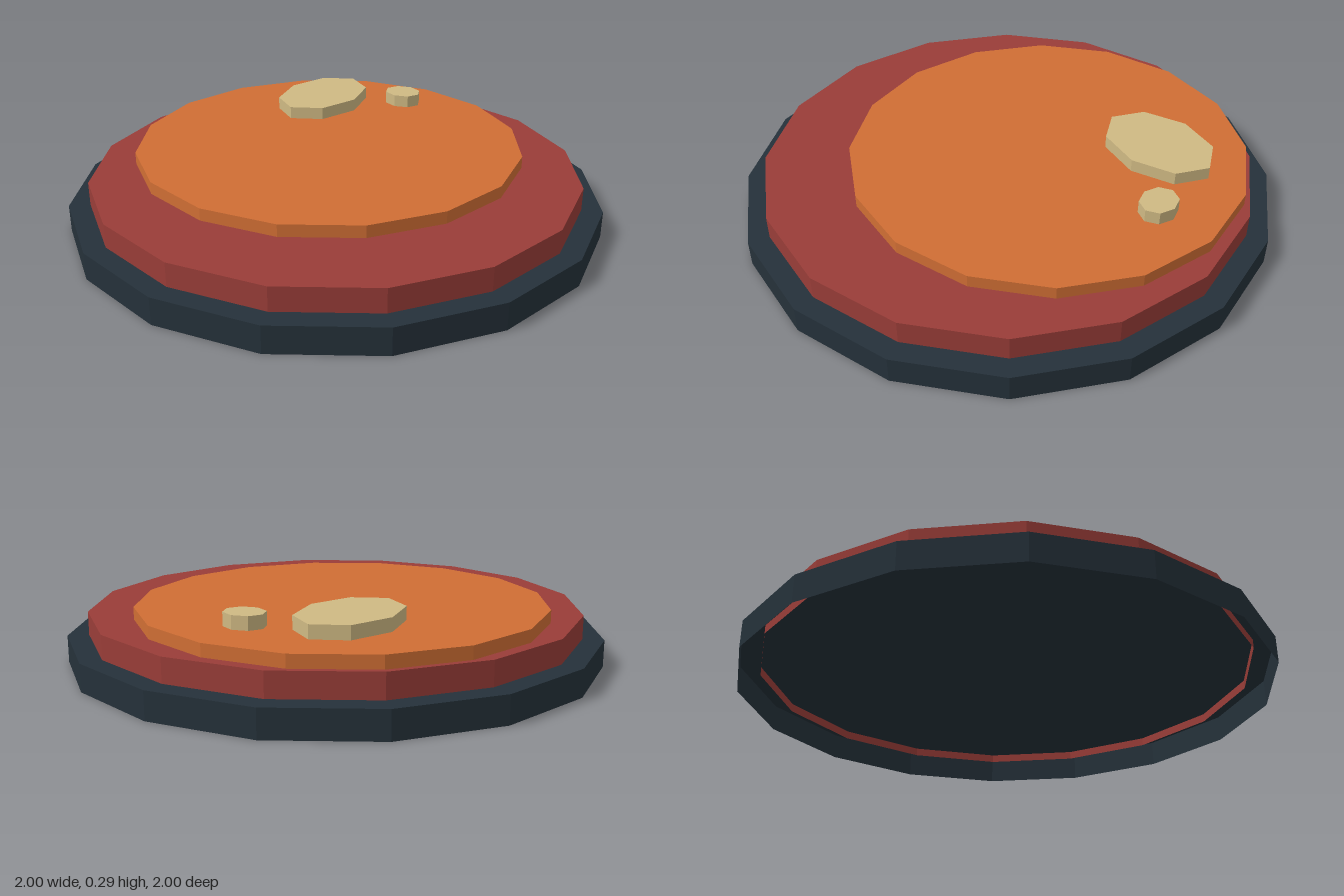
import * as THREE from 'three';

const paint = (name, color) =>
  new THREE.MeshStandardMaterial({ name, color, flatShading: true, side: THREE.DoubleSide });

// Faceted lid: side wall plus top face, open underneath
function lid(name, material, sides, [x, z], [rx, rz], bottom, top) {
  const profile = [
    new THREE.Vector2(1, bottom),
    new THREE.Vector2(1, top),
    new THREE.Vector2(0, top),
  ];
  const mesh = new THREE.Mesh(new THREE.LatheGeometry(profile, sides), material);
  mesh.name = name;
  mesh.scale.set(rx, 1, rz);
  mesh.position.set(x, 0, z);
  return mesh;
}

export function createModel() {
  const slate = paint('dark slate', 0x25313a);
  const red = paint('brick red', 0x993d38);
  const orange = paint('burnt orange', 0xd06e34);
  const cream = paint('pale sand', 0xcfb983);

  const model = new THREE.Group();
  model.name = 'layeredDisc';
  model.add(
    // Stacked discs; each wall sinks a little into the layer below
    lid('base', slate, 16, [0, 0], [1, 1], 0, 0.1),
    lid('middleDisc', red, 16, [0, 0], [0.922, 0.922], 0.068, 0.188),
    lid('topDisc', orange, 16, [-0.107, -0.107], [0.75, 0.75], 0.17, 0.234),
    // Raised highlight spots
    lid('largeSpot', cream, 8, [-0.368, -0.427], [0.161, 0.228], 0.242, 0.29),
    lid('smallSpot', cream, 8, [-0.097, -0.637], [0.077, 0.066], 0.242, 0.29),
  );
  return model;
}
